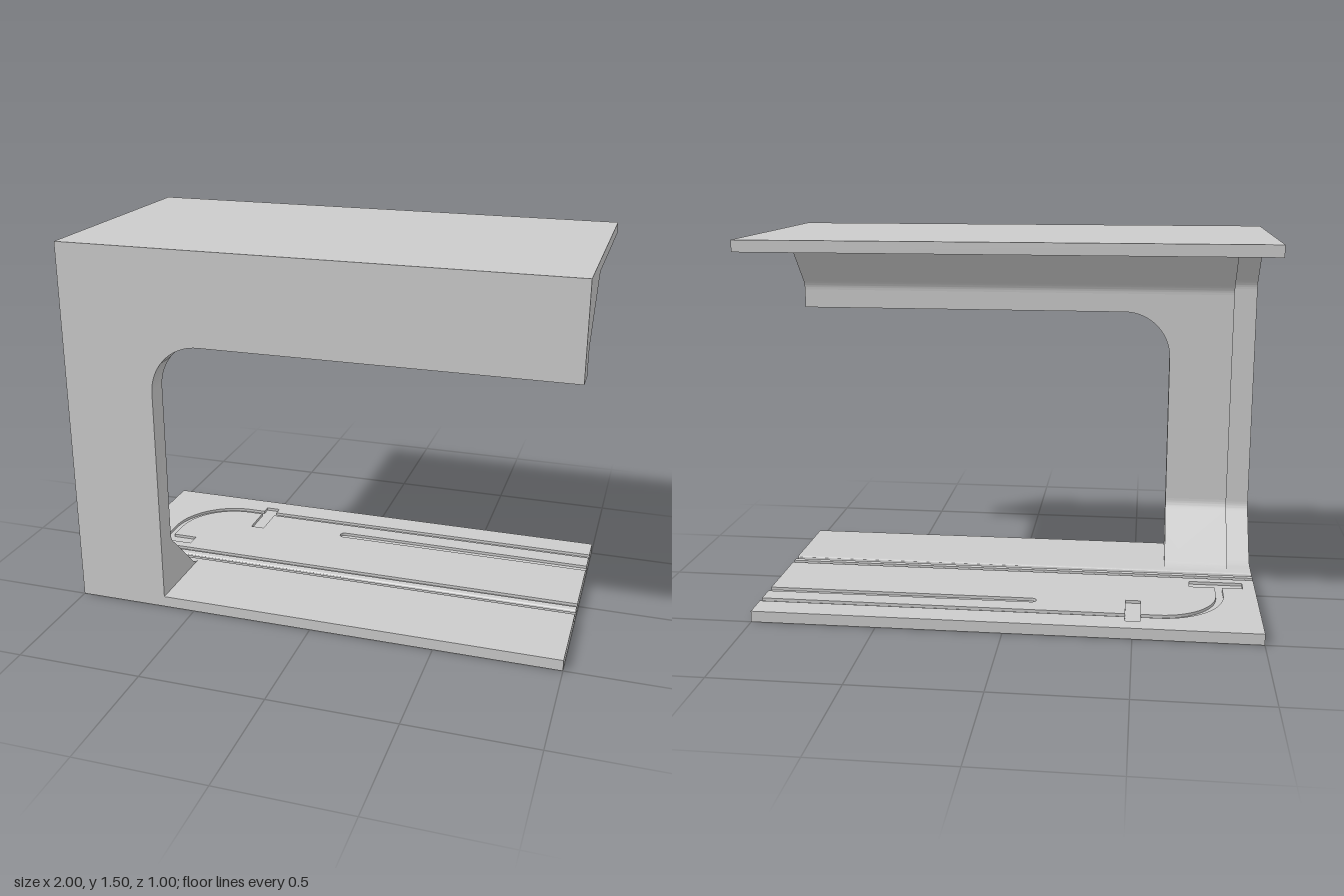
import * as THREE from 'three';
import { toCreasedNormals } from 'three/addons/utils/BufferGeometryUtils.js';

const H = 1.5;          // overall height
const T = 0.045;        // plate thickness
const BASE = 0.033;     // floor thickness below the grooves
const WALL = 0.41;      // inner face of the front wall
const LEDGE = -0.9;     // the wall is thinner left of this x

export function createModel() {
  const group = new THREE.Group();
  const material = new THREE.MeshStandardMaterial({ color: 0xcccccc });

  function add(name, geometry) {
    const mesh = new THREE.Mesh(toCreasedNormals(geometry, 0.5), material);
    mesh.name = name;
    group.add(mesh);
  }
  const extrude = (shape, depth) =>
    new THREE.ExtrudeGeometry(shape, { depth, bevelEnabled: false, curveSegments: 16 });
  const polygon = (points) => new THREE.Shape(points.map((p) => new THREE.Vector2(...p)));

  // Extrude a (z, y) section along x
  function alongX(name, shape, x0, x1) {
    add(name, extrude(shape, x1 - x0).rotateY(-Math.PI / 2).translate(x1, 0, 0));
  }
  function box(name, x0, x1, y0, y1, z0, z1) {
    add(name, new THREE.BoxGeometry(x1 - x0, y1 - y0, z1 - z0)
      .translate((x0 + x1) / 2, (y0 + y1) / 2, (z0 + z1) / 2));
  }

  // Sloped gusset between wall and plate with softened corners
  function gusset(wall, run, top) {
    const Y = (h) => (top ? H - T - h : T + h);
    const s = new THREE.Shape();
    const r = 0.025;
    s.moveTo(wall, Y(0));
    s.lineTo(wall - run - r, Y(0));
    s.quadraticCurveTo(wall - run, Y(0), wall - run + r * 0.7, Y(r * 0.7));
    s.lineTo(wall - r * 0.7, Y(run - r * 0.7));
    s.quadraticCurveTo(wall, Y(run), wall, Y(run + r));
    return s;
  }

  // Top plate
  box('topPlate', -1, 1, H - T, H, -0.5, 0.5);

  // Front wall: pillar and header in one, with a rounded inner corner
  const wall = new THREE.Shape();
  wall.moveTo(LEDGE, T);
  wall.lineTo(-0.63, T);
  wall.lineTo(-0.63, 0.93);
  wall.absarc(-0.43, 0.93, 0.2, Math.PI, Math.PI / 2, true);
  wall.lineTo(1, 1.13);
  wall.lineTo(1, H - T);
  wall.lineTo(LEDGE, H - T);
  add('frontWall', extrude(wall, 0.5 - WALL).translate(0, 0, WALL));
  alongX('upperGusset', gusset(WALL, 0.22, true), LEDGE, 1);
  alongX('lowerGusset', gusset(WALL, 0.22, false), LEDGE, -0.63);

  // Thinner end of the wall
  box('endWall', -1, LEDGE, T, H - T, 0.46, 0.5);
  alongX('endUpperGusset', gusset(0.46, 0.2, true), -1, LEDGE);
  alongX('endLowerGusset', gusset(0.46, 0.2, false), -1, LEDGE);

  // Floor base with the wide lower part of the T-slot
  alongX('floorBase', polygon([
    [-0.5, 0], [0.5, 0], [0.5, BASE], [0.165, BASE], [0.165, 0.01],
    [0.09, 0.01], [0.09, BASE], [-0.5, BASE],
  ]), -1, 1);

  // Floor strips on both sides of the T-slot neck, with rounded lips
  function lipStrip(name, outer, neck) {
    const d = Math.sign(outer - neck);
    const s = new THREE.Shape();
    s.moveTo(outer, BASE);
    s.lineTo(neck, BASE);
    s.lineTo(neck, BASE + 0.004);
    s.quadraticCurveTo(neck, T, neck + d * 0.01, T);
    s.lineTo(outer, T);
    alongX(name, s, -1, 1);
  }
  lipStrip('floorFrontStrip', 0.5, 0.14);
  lipStrip('floorMiddleStrip', 0.085, 0.115);

  // Rear floor surface, drawn in (x, z), notched by the bent track and the straight slot
  const rear = new THREE.Shape();
  const lines = (points) => points.forEach((p) => rear.lineTo(...p));
  rear.moveTo(-1, -0.5);
  lines([[1, -0.5], [1, -0.39], [-0.47, -0.39], [-0.47, -0.43], [-0.53, -0.43], [-0.53, -0.39], [-0.6, -0.39]]);
  rear.absarc(-0.6, -0.125, 0.265, 1.5 * Math.PI, Math.PI, true);
  lines([[-0.865, -0.04], [-0.95, -0.04], [-0.95, 0.02], [-0.73, 0.02], [-0.73, -0.04], [-0.835, -0.04], [-0.835, -0.125]]);
  rear.absarc(-0.6, -0.125, 0.235, Math.PI, 1.5 * Math.PI, false);
  lines([[-0.53, -0.36], [-0.53, -0.22], [-0.47, -0.22], [-0.47, -0.36], [1, -0.36], [1, -0.28], [-0.09, -0.28]]);
  rear.absarc(-0.09, -0.26, 0.02, 1.5 * Math.PI, 0.5 * Math.PI, true);
  lines([[1, -0.24], [1, 0.06], [-1, 0.06]]);
  add('floorRearSurface', extrude(rear, T - BASE).rotateX(Math.PI / 2).translate(0, T, 0));

  return group;
}
